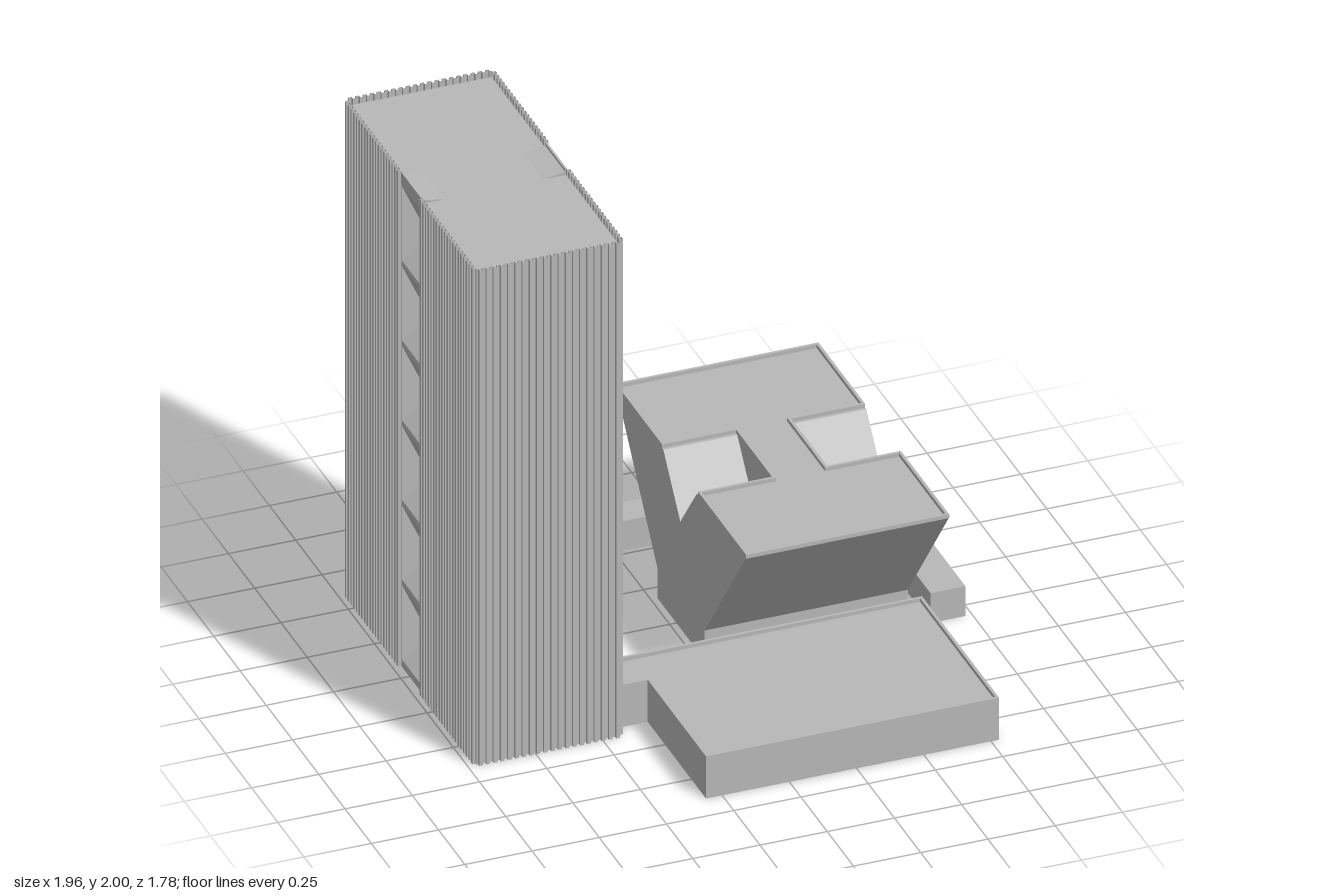
import * as THREE from 'three';

const concrete = new THREE.MeshStandardMaterial({ color: 0xb8b8b8, side: THREE.DoubleSide });
concrete.name = 'concrete';

const toShape = (pts) => new THREE.Shape(pts.map(([a, b]) => new THREE.Vector2(a, b)));

function add(parent, name, geometry) {
  const mesh = new THREE.Mesh(geometry, concrete);
  mesh.name = name;
  parent.add(mesh);
  return mesh;
}

// Box given by its minimum and maximum corners
function block(x0, x1, y0, y1, z0, z1) {
  return new THREE.BoxGeometry(x1 - x0, y1 - y0, z1 - z0)
    .translate((x0 + x1) / 2, (y0 + y1) / 2, (z0 + z1) / 2);
}

// Plan outline of [x, z] points raised from y0 to y1
function plan(pts, y0, y1, hole) {
  const shape = toShape(pts);
  if (hole) shape.holes.push(toShape(hole));
  return new THREE.ExtrudeGeometry(shape, { depth: y1 - y0, bevelEnabled: false })
    .rotateX(Math.PI / 2).translate(0, y1, 0);
}

// Side section of [z, y] points swept from x0 to x1
function section(pts, x0, x1) {
  return new THREE.ExtrudeGeometry(toShape(pts), { depth: x1 - x0, bevelEnabled: false })
    .rotateY(-Math.PI / 2).translate(x1, 0, 0);
}

// Vertical sheet folded into square ribs along a path of [x, z] points
function ribbedWall(path, centre, height, pitch, depth) {
  const line = [];
  for (let i = 0; i < path.length - 1; i++) {
    const a = new THREE.Vector2(...path[i]);
    const b = new THREE.Vector2(...path[i + 1]);
    const dir = b.clone().sub(a);
    const out = new THREE.Vector2(-dir.y, dir.x).normalize();
    if (out.dot(a.clone().add(b).multiplyScalar(0.5).sub(centre)) < 0) out.negate();
    const n = Math.round(dir.length() / pitch);
    for (let k = 0; k < n; k++) {
      for (const [t, d] of [[0, 0], [0.25, 0], [0.25, depth], [0.75, depth], [0.75, 0], [1, 0]]) {
        line.push(a.clone().addScaledVector(dir, (k + t) / n).addScaledVector(out, d));
      }
    }
  }
  const pos = [];
  for (let i = 0; i < line.length - 1; i++) {
    const p = line[i], q = line[i + 1];
    if (p.distanceTo(q) < 1e-6) continue;
    pos.push(p.x, 0, p.y, p.x, height, p.y, q.x, height, q.y);
    pos.push(p.x, 0, p.y, q.x, height, q.y, q.x, 0, q.y);
  }
  const g = new THREE.BufferGeometry();
  g.setAttribute('position', new THREE.Float32BufferAttribute(pos, 3));
  g.computeVertexNormals();
  return g;
}

function createTower() {
  const tower = new THREE.Group();
  tower.name = 'tower';
  const X0 = -0.968, X1 = -0.432, Z0 = -0.84, Z1 = 0.387, n0 = -0.32, n1 = -0.13;
  const centre = new THREE.Vector2((X0 + X1) / 2, (Z0 + Z1) / 2);

  // Two ribbed shells, parted by the niche columns
  for (const [name, zEnd, zGap] of [['backRibbedWall', Z0, n0], ['frontRibbedWall', Z1, n1]]) {
    const path = [[X1, zGap], [X1, zEnd], [X0, zEnd], [X0, zGap]];
    add(tower, name, ribbedWall(path, centre, 2, 0.0265, 0.012));
  }
  add(tower, 'towerRoof', block(X0, X1, 1.96, 1.975, Z0, Z1));

  // Stacked niches: a sloping sill under an overhanging back wall
  for (const [side, x, s] of [['left', X1, 1], ['right', X0, -1]]) {
    const depth = 0.1;
    const pts = [[x - s * (depth + 0.015), 0], [x, 0]];
    for (let k = 0; k < 6; k++) {
      const y = 0.03 + k * 0.322;
      pts.push([x, y], [x - s * depth, y + 0.08], [x, y + 0.3]);
    }
    pts.push([x, 2], [x - s * (depth + 0.015), 2]);
    pts.splice(pts.length - 2, 2, [x, 1.99], [x - s * (depth + 0.015), 1.97]);
    const column = new THREE.ExtrudeGeometry(toShape(pts), { depth: n1 - n0, bevelEnabled: false });
    add(tower, side + 'NicheColumn', column.translate(0, 0, n0));
    const xi = x - s * depth;
    for (const z of [n0 - 0.008, n1]) {
      add(tower, side + 'NicheCheek', block(Math.min(x, xi), Math.max(x, xi), 0, 1.97, z, z + 0.008));
    }
    add(tower, side + 'NicheParapet', block(x - 0.004, x + 0.004, 1.95, 2, n0, n1));
  }
  return tower;
}

function createHall() {
  const hall = new THREE.Group();
  hall.name = 'flaredHall';
  const x0 = 0.025, x1 = 0.78, xl = 0.3, xr = 0.505;
  const top = 0.645, roof = 0.63, a = -0.385, b = -0.045;

  // Flared body: plain in the middle, cut by a V at both ends
  const base = [[-0.43, 0.12], [0.02, 0.12], [0.412, roof]];
  const notch = [[b - 0.011, roof], [-0.213, 0.43], [a + 0.011, roof]];
  const end = [[-0.825, roof]];
  add(hall, 'hallMiddle', section([...base, ...end], xl, xr));
  add(hall, 'hallRightEnd', section([...base, ...notch, ...end], x0, xl));
  add(hall, 'hallLeftEnd', section([...base, ...notch, ...end], xr, x1));
  add(hall, 'hallBase', block(x0, x1, 0, 0.12, -0.43, 0.02));

  // Low parapet around the H-shaped roof
  const outline = (i) => [
    [x0 + i, -0.83 + i], [x1 - i, -0.83 + i], [x1 - i, a - i], [xr - i, a - i],
    [xr - i, b + i], [x1 - i, b + i], [x1 - i, 0.415 - i], [x0 + i, 0.415 - i],
    [x0 + i, b + i], [xl + i, b + i], [xl + i, a - i], [x0 + i, a - i],
  ];
  add(hall, 'hallParapet', plan(outline(0), roof, top, outline(0.011)));
  return hall;
}

function createFrontWing() {
  const wing = new THREE.Group();
  wing.name = 'frontWing';
  const outline = (i) => [
    [-0.43 + i, 0.155 + i], [0.78 - i, 0.155 + i], [0.78 - i, 0.89 - i],
    [-0.31 + i, 0.89 - i], [-0.31 + i, 0.335 - i], [-0.43 + i, 0.335 - i],
  ];
  add(wing, 'wingBody', plan(outline(0), 0, 0.155));
  add(wing, 'wingParapet', plan(outline(0), 0.155, 0.17, outline(0.011)));
  return wing;
}

export function createModel() {
  const model = new THREE.Group();
  model.name = 'buildingComplex';
  model.add(createTower(), createHall(), createFrontWing());

  // Low L-shaped gallery behind and beside the hall
  add(model, 'lowGallery', plan([
    [-0.7, -0.89], [0.975, -0.89], [0.975, 0.07], [0.845, 0.07], [0.845, -0.77], [-0.7, -0.77],
  ], 0, 0.12));
  return model;
}
